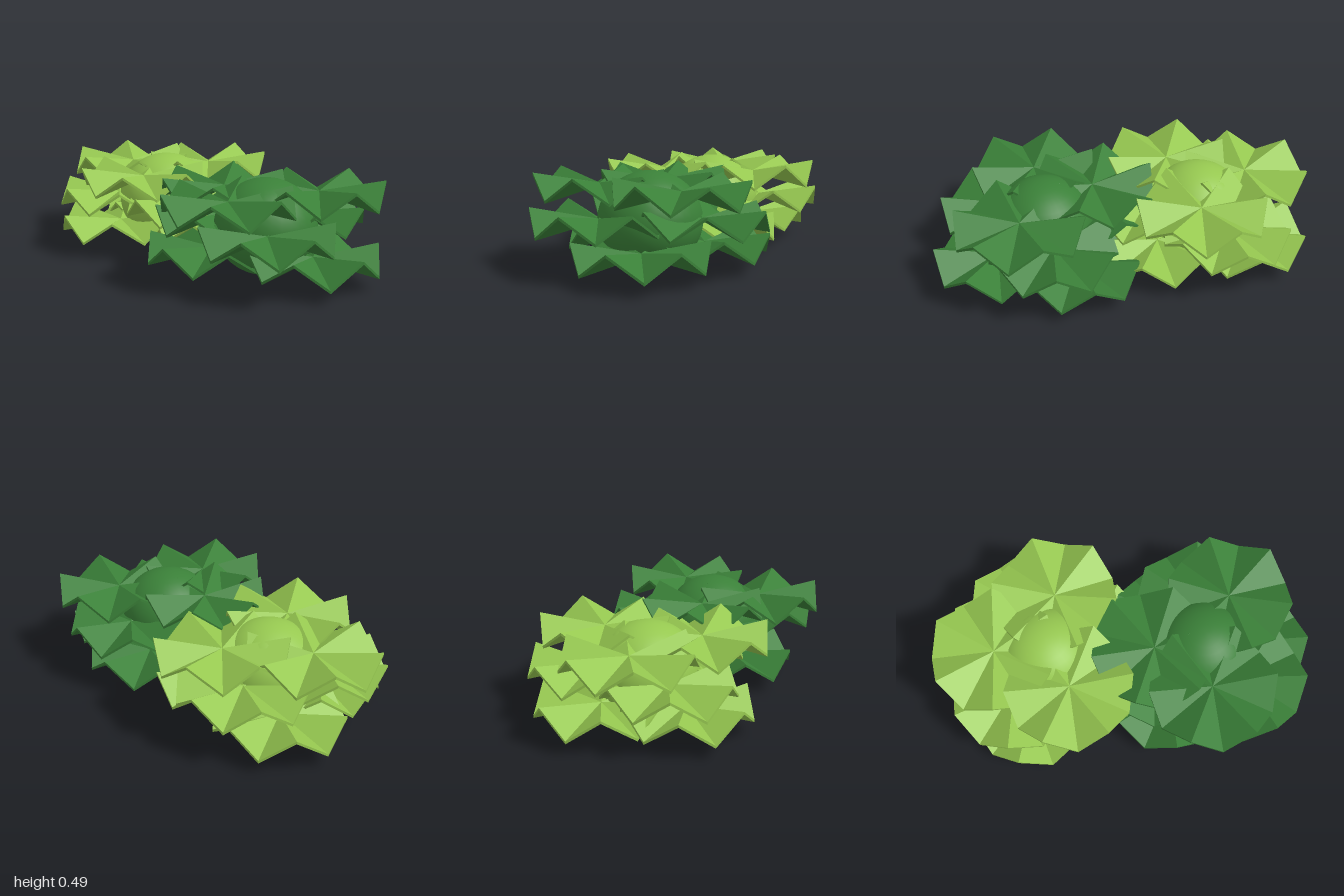
import * as THREE from 'three';

const LEAF_RADIUS = 0.33, LEAF_REACH = 0.27, RUFFLE = 0.059;

// Thin twelve-sided disc whose rim corners alternate up and down, giving a pleated fan
function leafGeometry() {
  const g = new THREE.CylinderGeometry(LEAF_RADIUS, LEAF_RADIUS, 0.014, 12);
  const p = g.attributes.position;
  for (let i = 0; i < p.count; i++) {
    const x = p.getX(i), z = p.getZ(i);
    if (Math.hypot(x, z) < 0.01) continue;
    p.setY(i, p.getY(i) + RUFFLE * Math.cos(6 * Math.atan2(z, x)));
  }
  const flat = g.toNonIndexed();
  flat.computeVertexNormals();
  return flat;
}

// Flattened round heart with three tiers of three ruffled leaves.
// Each leaf is [direction from the heart, direction of a rim peak] in degrees.
function makeHead(name, material, x, z, tiers, leafGeo) {
  const head = new THREE.Group();
  head.name = name;
  head.position.set(x, 0, z);

  const core = new THREE.Mesh(new THREE.SphereGeometry(0.262, 32, 20), material);
  core.name = 'core';
  core.scale.y = 0.245 / 0.262;
  core.position.y = 0.247;
  head.add(core);

  tiers.forEach(({ y, leaves }, t) => {
    const tier = new THREE.Group();
    tier.name = ['bottomLeaves', 'middleLeaves', 'topLeaves'][t];
    for (const [direction, peak] of leaves) {
      const a = THREE.MathUtils.degToRad(direction);
      const leaf = new THREE.Mesh(leafGeo, material);
      leaf.name = 'leaf';
      leaf.position.set(LEAF_REACH * Math.cos(a), y, LEAF_REACH * Math.sin(a));
      leaf.rotation.y = -THREE.MathUtils.degToRad(peak);
      tier.add(leaf);
    }
    head.add(tier);
  });
  return head;
}

export function createModel() {
  const lightGreen = new THREE.MeshStandardMaterial({ color: 0x96c850 });
  lightGreen.name = 'light green';
  const darkGreen = new THREE.MeshStandardMaterial({ color: 0x3a8038 });
  darkGreen.name = 'dark green';

  const leafGeo = leafGeometry();
  const model = new THREE.Group();
  model.name = 'leafyHeads';
  model.add(
    makeHead('lightHead', lightGreen, -0.41, -0.06, [
      { y: 0.128, leaves: [[119, 110], [-141, -141], [-18, 4]] },
      { y: 0.265, leaves: [[140, 162], [-102, -84], [20, 42]] },
      { y: 0.413, leaves: [[180, 217], [-71, -42], [72, 62]] },
    ], leafGeo),
    makeHead('darkHead', darkGreen, 0.41, 0.06, [
      { y: 0.126, leaves: [[142, 154], [-8, 10], [-112, -90]] },
      { y: 0.265, leaves: [[50, 72], [-85, -78], [170, 192]] },
      { y: 0.413, leaves: [[178, 238], [-50, -37], [94, 122]] },
    ], leafGeo),
  );
  return model;
}
